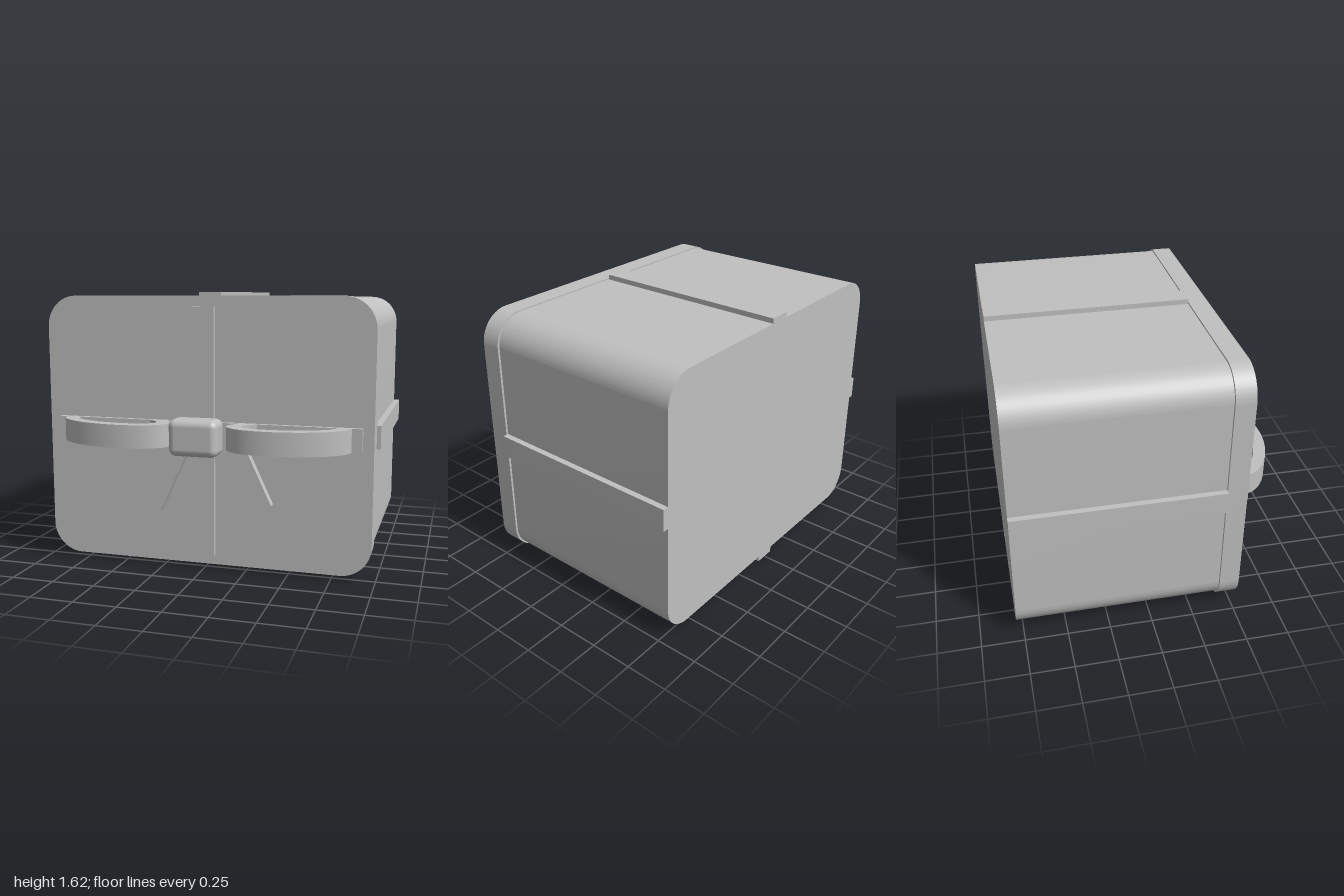
import * as THREE from 'three';
import { toCreasedNormals } from 'three/addons/utils/BufferGeometryUtils.js';
import { RoundedBoxGeometry } from 'three/addons/geometries/RoundedBoxGeometry.js';

const MID_Y = 0.81; // height of the box centre and the horizontal ribbon
const BAND = 0.133; // ribbon width

function roundedRect(w, h, r) {
  const s = new THREE.Shape();
  const x = w / 2, y = h / 2;
  s.moveTo(-x + r, -y);
  s.lineTo(x - r, -y);
  s.absarc(x - r, -y + r, r, -Math.PI / 2, 0);
  s.lineTo(x, y - r);
  s.absarc(x - r, y - r, r, 0, Math.PI / 2);
  s.lineTo(-x + r, y);
  s.absarc(-x + r, y - r, r, Math.PI / 2, Math.PI);
  s.lineTo(-x, -y + r);
  s.absarc(-x + r, -y + r, r, Math.PI, Math.PI * 1.5);
  return s;
}

function extrude(shape, depth, curveSegments) {
  const g = new THREE.ExtrudeGeometry(shape, { depth, curveSegments, bevelEnabled: false });
  return toCreasedNormals(g, 0.6);
}

export function createModel() {
  const model = new THREE.Group();
  model.name = 'giftBox';
  const grey = new THREE.MeshStandardMaterial({ color: 0xc0c0c0 });
  grey.name = 'grey';

  const add = (name, geometry, x, y, z) => {
    const mesh = new THREE.Mesh(geometry, grey);
    mesh.name = name;
    mesh.position.set(x, y, z);
    model.add(mesh);
    return mesh;
  };
  const box = (name, w, h, d, x, y, z) => add(name, new THREE.BoxGeometry(w, h, d), x, y, z);

  // Box body and its slightly larger lid at the front
  add('body', extrude(roundedRect(1.93, 1.55, 0.17), 1.2, 16), 0, MID_Y, -0.79);
  add('lid', extrude(roundedRect(1.954, 1.568, 0.18), 0.117, 16), 0, MID_Y, 0.411);

  // Ribbons along the four sides of the body
  const sideZ = -0.19, sideLength = 1.2;
  box('topRibbon', BAND, 0.05, sideLength, 0, 1.59, sideZ);
  box('bottomRibbon', BAND, 0.05, sideLength, 0, 0.025, sideZ);
  for (const side of [-1, 1]) {
    box(side > 0 ? 'leftRibbon' : 'rightRibbon', 0.05, BAND, sideLength, side * 0.975, MID_Y, sideZ);
  }

  // Ribbon cross on the lid
  box('frontVerticalRibbon', BAND, 1.45, 0.036, 0, MID_Y, 0.538);
  box('frontHorizontalRibbon', 1.83, BAND, 0.036, 0, MID_Y, 0.538);

  // Bow: knot, two tilted loops half sunk in the lid, two tails
  add('bowKnot', new RoundedBoxGeometry(0.288, 0.21, 0.157, 5, 0.042), 0, MID_Y, 0.682);
  for (const side of [-1, 1]) {
    const label = side > 0 ? 'Left' : 'Right';
    const tilt = -side * 0.176;
    const ring = new THREE.Shape();
    ring.absellipse(0, 0, 0.347, 0.177, 0, Math.PI * 2, false, tilt);
    const hole = new THREE.Path();
    hole.absellipse(0, 0, 0.262, 0.107, 0, Math.PI * 2, true, tilt);
    ring.holes.push(hole);
    const loop = extrude(ring, BAND, 32);
    loop.rotateX(Math.PI / 2);
    add('bowLoop' + label, loop, side * 0.513, MID_Y + BAND / 2, 0.6);

    const tail = box('bowTail' + label, 0.187, 0.382, 0.05, side * 0.252, 0.555, 0.578);
    tail.rotation.z = side * 0.44;
  }

  return model;
}
